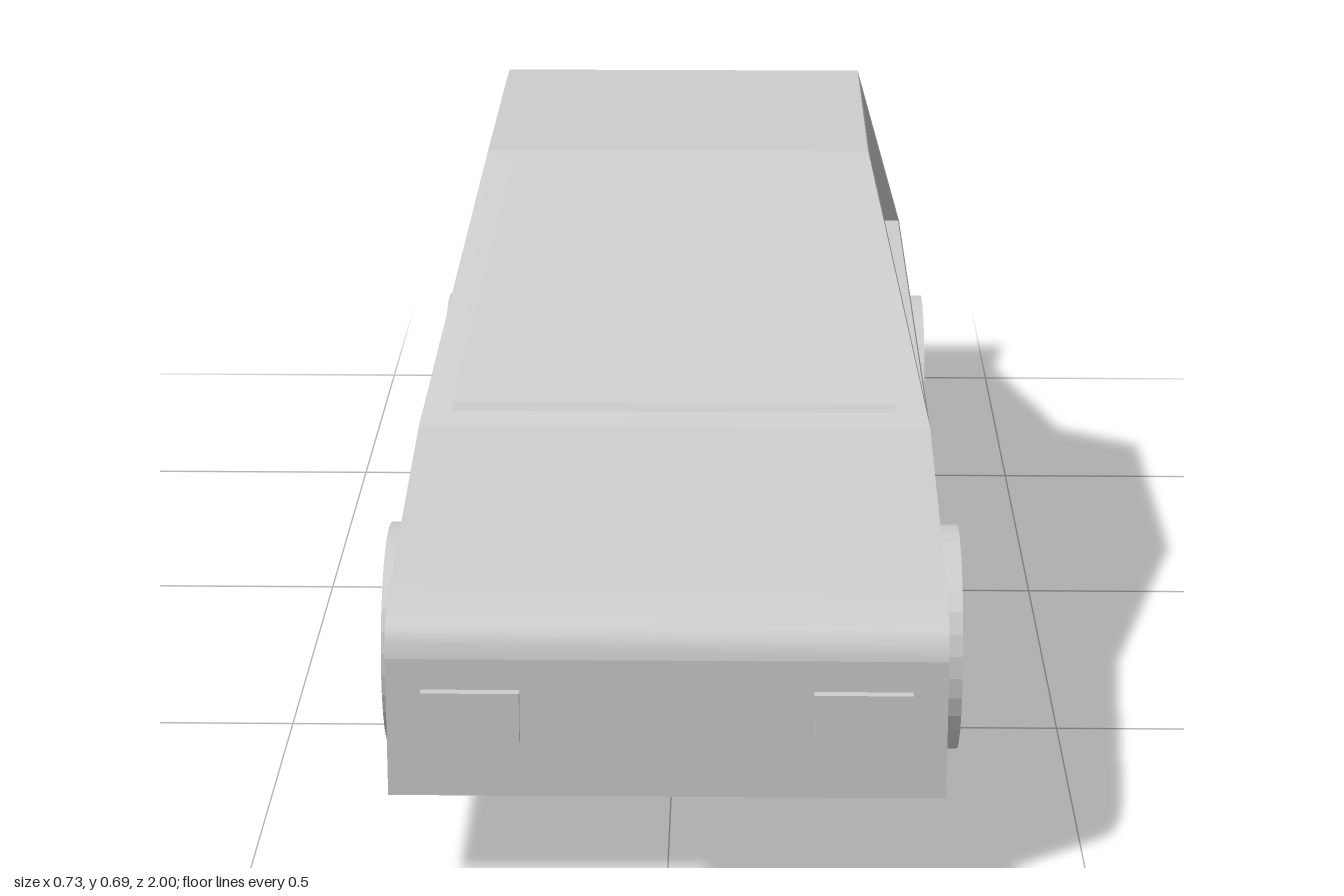
import * as THREE from 'three';
import { toCreasedNormals } from 'three/addons/utils/BufferGeometryUtils.js';

const grey = new THREE.MeshStandardMaterial({ color: 0xcccccc });
grey.name = 'light grey';

// Flat-shaded geometry from quads given counter-clockwise
function quadGeometry(quads) {
  const p = [];
  for (const [a, b, c, d] of quads) p.push(...a, ...b, ...c, ...a, ...c, ...d);
  const g = new THREE.BufferGeometry();
  g.setAttribute('position', new THREE.Float32BufferAttribute(p, 3));
  g.computeVertexNormals();
  return g;
}

// Rectangular sections [z, half width, bottom, top] joined front to back
function loft(stations, frontCap, backCap) {
  const rings = stations.map(([z, w, b, t]) => [[-w, b, z], [w, b, z], [w, t, z], [-w, t, z]]);
  const quads = [];
  for (let s = 0; s < rings.length - 1; s++) {
    const A = rings[s], B = rings[s + 1];
    for (let i = 0; i < 4; i++) {
      const j = (i + 1) % 4;
      quads.push([A[i], B[i], B[j], A[j]]);
    }
  }
  if (frontCap) quads.push(rings[0]);
  if (backCap) quads.push([...rings[rings.length - 1]].reverse());
  return quadGeometry(quads);
}

// Frame around a recessed window: outer corners, opening corners, recess vector
function windowPanel(outer, inner, recess) {
  const glass = inner.map(c => c.map((v, k) => v + recess[k]));
  const quads = [glass];
  for (let i = 0; i < 4; i++) {
    const j = (i + 1) % 4;
    quads.push([outer[i], outer[j], inner[j], inner[i]]);
    quads.push([inner[i], inner[j], glass[j], glass[i]]);
  }
  return quadGeometry(quads);
}

// Trapezoid facing along z (dir = 1 front, -1 back)
const endPanel = (dir, w0, y0, z0, w1, y1, z1) =>
  [[-dir * w0, y0, z0], [dir * w0, y0, z0], [dir * w1, y1, z1], [-dir * w1, y1, z1]];

// Trapezoid facing +x
const sidePanel = (x0, y0, f0, b0, x1, y1, f1, b1) =>
  [[x0, y0, f0], [x0, y0, b0], [x1, y1, b1], [x1, y1, f1]];

const mirrorX = corners => corners.map(([x, y, z]) => [-x, y, z]).reverse();

export function createModel() {
  const car = new THREE.Group();
  car.name = 'car';
  const add = (name, geometry, x = 0, y = 0, z = 0) => {
    const m = new THREE.Mesh(geometry, grey);
    m.name = name;
    m.position.set(x, y, z);
    car.add(m);
    return m;
  };

  // Lower body: rounded nose, straight middle, tapered tail
  const W = 0.328, B = 0.118;
  const nose = [[0.988, 0.29], [0.984, 0.308], [0.973, 0.324], [0.952, 0.337], [0.92, 0.347], [0.88, 0.354]]
    .map(([z, t]) => [z, W, B, t]);
  add('nose', toCreasedNormals(loft(nose), 0.6));
  add('frontPanel', quadGeometry([endPanel(1, W, B, 0.988, W, 0.29, 0.988)]));
  add('body', loft([[0.88, W, B, 0.354], [0.477, W, B, 0.405], [-0.53, W, B, 0.405]]));
  add('tail', loft([
    [-0.53, W, B, 0.405], [-0.885, 0.283, B, 0.35], [-0.945, 0.28, B, 0.34], [-0.963, 0.272, B, 0.337],
  ], false, true));
  add('spoiler', loft([
    [-0.885, 0.283, 0.345, 0.351], [-0.955, 0.292, 0.315, 0.357], [-1, 0.298, 0.342, 0.362],
  ], true, true));

  // Cabin with recessed windows on all four sides
  const Y0 = 0.405, Y1 = 0.692, R = 0.254, D = 0.037;
  add('windscreen', windowPanel(
    endPanel(1, W, Y0, 0.477, R, Y1, 0.168),
    endPanel(1, 0.287, 0.42, 0.461, 0.221, 0.675, 0.186), [0, 0, -D]));
  add('rearWindow', windowPanel(
    endPanel(-1, W, Y0, -0.53, R, Y1, -0.305),
    endPanel(-1, 0.287, 0.42, -0.518, 0.221, 0.675, -0.318), [0, 0, D]));
  const sideOuter = sidePanel(W, Y0, 0.477, -0.53, R, Y1, 0.168, -0.305);
  const sideInner = sidePanel(0.324, 0.42, 0.41, -0.473, 0.258, 0.678, 0.14, -0.275);
  add('leftWindow', windowPanel(sideOuter, sideInner, [-D, 0, 0]));
  add('rightWindow', windowPanel(mirrorX(sideOuter), mirrorX(sideInner), [D, 0, 0]));
  add('roof', quadGeometry([[[-R, Y1, 0.168], [R, Y1, 0.168], [R, Y1, -0.305], [-R, Y1, -0.305]]]));

  // Lamps and wheels, mirrored left and right
  const wheel = new THREE.CylinderGeometry(0.1435, 0.1435, 0.094, 32).rotateZ(Math.PI / 2).toNonIndexed();
  wheel.computeVertexNormals();
  const headlamp = new THREE.BoxGeometry(0.115, 0.065, 0.03);
  const tailLamp = new THREE.BoxGeometry(0.118, 0.065, 0.03);
  for (const [side, s] of [['left', 1], ['right', -1]]) {
    add(side + 'Headlamp', headlamp, s * 0.2295, 0.2195, 0.985);
    add(side + 'TailLamp', tailLamp, s * 0.165, 0.2185, -0.96);
    add(side + 'FrontWheel', wheel, s * 0.317, 0.1435, 0.538);
    add(side + 'RearWheel', wheel, s * 0.317, 0.1435, -0.5);
  }
  return car;
}
